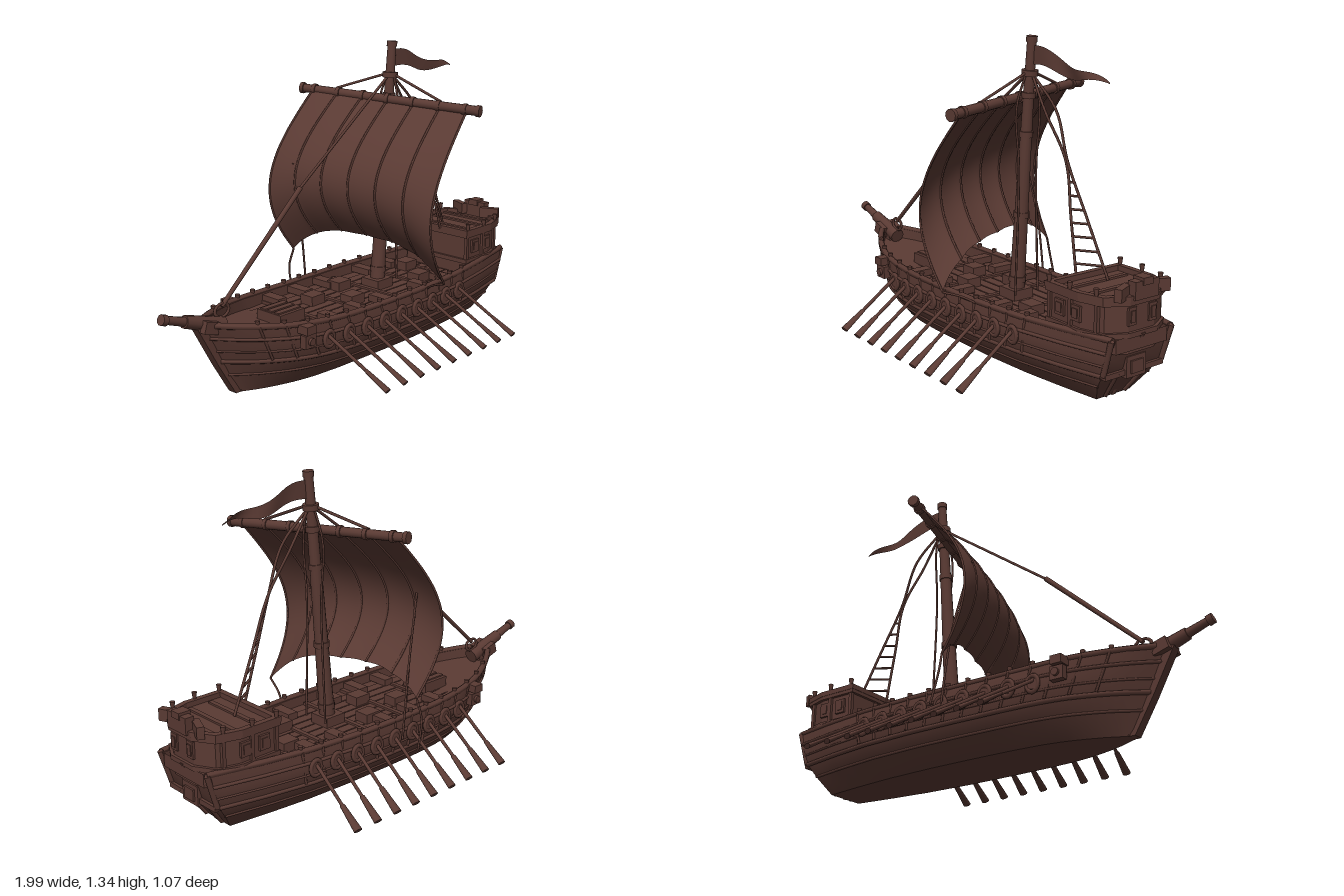
import * as THREE from 'three';
import { toCreasedNormals } from 'three/addons/utils/BufferGeometryUtils.js';

const V = (x, y, z) => new THREE.Vector3(x, y, z);
const lerp = THREE.MathUtils.lerp;

// piecewise linear lookup
function table(t, pts) {
  for (let i = 1; i < pts.length; i++) {
    const [a, va] = pts[i - 1], [b, vb] = pts[i];
    if (t <= b) return lerp(va, vb, (t - a) / (b - a));
  }
  return pts[pts.length - 1][1];
}

// hull rules: s runs bow to stern, level 0..4 runs keel to rail
const PLAN = [[0, 0.07], [0.03, 0.25], [0.07, 0.45], [0.12, 0.64], [0.17, 0.79], [0.23, 0.9],
  [0.32, 0.97], [0.45, 1], [0.6, 1], [0.75, 0.93], [0.88, 0.79], [1, 0.62]];
const LEVELS = [ // y, bow x, stern x, half width
  [0, -0.65, 0.82, 0.14], [0.07, -0.69, 0.87, 0.21], [0.14, -0.73, 0.92, 0.25],
  [0.21, -0.77, 0.94, 0.262], [0.28, -0.81, 0.965, 0.252]];
function hullPoint(s, level, side = 1, out = 0) {
  const i = Math.min(3, Math.floor(level)), f = level - i;
  const [y, x0, x1, w] = LEVELS[i].map((v, k) => lerp(v, LEVELS[i + 1][k], f));
  const sheer = 0.05 * Math.max(0, 1 - s / 0.4) ** 2 - 0.01 * Math.sin(Math.PI * s) + 0.01 * s;
  return V(lerp(x0, x1, s), y + sheer * level / 4, side * (w * table(s, PLAN) + out));
}
const sAt = (x, level) => (x - hullPoint(0, level).x) / (hullPoint(1, level).x - hullPoint(0, level).x);

// skin a list of equal-length cross-sections
function loft(rows) {
  const n = rows[0].length, idx = [];
  for (let i = 0; i < rows.length - 1; i++) for (let j = 0; j < n - 1; j++) {
    const a = i * n + j, b = a + n;
    idx.push(a, b, a + 1, b, b + 1, a + 1);
  }
  const g = new THREE.BufferGeometry().setFromPoints(rows.flat());
  g.setIndex(idx);
  return toCreasedNormals(g, 0.5);
}

// sail surface: u across (-1..1), v downwards (0..1)
function sailPoint(u, v, out = 0) {
  const low = 0.5 - 0.14 * Math.abs(u) ** 3 - 0.03 * u;
  const billow = 0.25 * Math.sin(Math.PI * v / 1.2) + 0.008 * v * Math.abs(Math.sin(u * Math.PI * 3));
  return V(0.25 + 0.1 * u - billow - out, lerp(1.08 - 0.02 * u, low, v),
    0.023 + u * (0.358 + 0.022 * Math.sin(Math.PI * v)));
}

export function createModel() {
  const ship = new THREE.Group();
  ship.name = 'sailingShip';
  const wood = new THREE.MeshStandardMaterial({ color: 0x5a3a33, side: THREE.DoubleSide });
  wood.name = 'darkBrown';

  function add(name, geo, x = 0, y = 0, z = 0) {
    const m = new THREE.Mesh(geo, wood);
    m.name = name;
    m.position.set(x, y, z);
    ship.add(m);
    return m;
  }
  const box = (name, w, h, d, x, y, z) => add(name, new THREE.BoxGeometry(w, h, d), x, y, z);
  function rod(name, a, b, r0, r1 = r0, sides = 10) {
    const d = b.clone().sub(a), mid = a.clone().add(b).multiplyScalar(0.5);
    const m = add(name, new THREE.CylinderGeometry(r1, r0, d.length(), sides), mid.x, mid.y, mid.z);
    m.quaternion.setFromUnitVectors(V(0, 1, 0), d.normalize());
    return m;
  }
  const rope = (name, pts, r = 0.004, sides = 5) =>
    add(name, new THREE.TubeGeometry(new THREE.CatmullRomCurve3(pts), pts.length * 6, r, sides));

  // hull with bulwark and deck; end rows collapse to close bow and stern
  const N = 44, deckY = s => 0.232 + 0.05 * Math.max(0, 1 - s / 0.25);
  for (const side of [1, -1]) {
    const section = (s, k) => {
      const row = [0, 0, 1, 2, 3, 4].map((l, i) => hullPoint(s, l, i ? side : 0));
      const top = hullPoint(s, 4, side), inner = Math.max(0, Math.abs(top.z) - 0.025) * side;
      row[0].z = 0;
      row.push(V(top.x, top.y, inner), V(top.x, deckY(s), inner), V(top.x, deckY(s), 0));
      if (k) row.forEach(p => { p.z = 0; });
      return side > 0 ? row : row.reverse();
    };
    const rows = [section(0, true)];
    for (let i = 0; i <= N; i++) rows.push(section(i / N));
    rows.push(section(1, true));
    add('hull', loft(rows));
    // plank wales and rail
    for (const [level, r] of [[1.1, 0.006], [1.9, 0.011], [2.5, 0.005], [3.25, 0.008], [4, 0.014]]) {
      const pts = [];
      for (let i = 0; i <= 24; i++) pts.push(hullPoint(i / 24, level, side, level === 4 ? -0.008 : 0));
      add(level === 4 ? 'rail' : 'wale', new THREE.TubeGeometry(new THREE.CatmullRomCurve3(pts), 60, r, 6));
    }
    // rail pegs and ribs
    for (let i = 0; i < 13; i++) {
      const s = 0.1 + i * 0.056, p = hullPoint(s, 4, side, -0.01);
      rod('railPeg', p, V(p.x, p.y + 0.024, p.z), 0.008, 0.011, 8);
      rod('hullRib', hullPoint(s, 2, side, 0.004), hullPoint(s, 4, side, 0.002), 0.007, 0.007, 4);
    }
    // nine oars with round ports
    for (let i = 0; i < 9; i++) {
      const x = -0.345 + i * 0.1065, z = Math.abs(hullPoint(sAt(x, 3), 3).z);
      add('oarPort', new THREE.TorusGeometry(0.027, 0.009, 6, 16), x, 0.205, side * (z + 0.005)).scale.y = 1.2;
      add('portPlate', new THREE.CylinderGeometry(0.024, 0.024, 0.02, 14).rotateX(Math.PI / 2), x, 0.205, side * z);
      const a = V(x - 0.005, 0.225, side * 0.235), b = V(x + 0.035, 0.05, side * 0.53);
      rod('oarShaft', a, b.clone().lerp(a, 0.1), 0.008, 0.007, 8);
      const blade = rod('oarBlade', b.clone().lerp(a, 0.36), b, 0.011, 0.018, 10);
      blade.scale.z = 0.6;
    }
    // catheads and anchor blocks near the bow
    box('cathead', 0.05, 0.035, 0.06, -0.46, 0.275, side * 0.23);
    box('anchorBlock', 0.06, 0.055, 0.03, -0.455, 0.225, side * 0.235);
    rod('bowBolt', V(-0.455, 0.225, side * 0.24), V(-0.455, 0.225, side * 0.262), 0.016);
  }

  // stem post, keel and bowsprit
  const stem = new THREE.Shape([[-0.61, 0], [-0.655, 0], [-0.74, 0.14], [-0.84, 0.32], [-0.76, 0.33]]
    .map(p => new THREE.Vector2(...p)));
  add('stemPost', new THREE.ExtrudeGeometry(stem, { depth: 0.044, bevelEnabled: false }), 0, 0, -0.022);
  box('keel', 1.44, 0.012, 0.05, 0.09, 0.006, 0);
  box('bowCollar', 0.07, 0.05, 0.1, -0.79, 0.32, 0).rotation.z = -0.3;
  rod('bowspritBase', V(-0.7, 0.3, 0), V(-0.89, 0.362, 0), 0.034, 0.026);
  rod('bowspritTip', V(-0.87, 0.356, 0), V(-0.995, 0.397, 0), 0.02, 0.016);
  rod('bowspritCap', V(-0.975, 0.39, 0), V(-0.998, 0.398, 0), 0.022);
  add('stayRing', new THREE.TorusGeometry(0.028, 0.006, 6, 14), -0.7, 0.36, 0).scale.x = 1.3;

  // deck planks, hatch, benches and cargo
  for (const z of [-0.15, -0.1, -0.05, 0, 0.05, 0.1, 0.15]) box('deckPlank', 1.1, 0.006, 0.044, 0.08, 0.234, z);
  for (const x of [-0.28, -0.06, 0.16, 0.38, 0.56]) box('deckBeam', 0.02, 0.016, 0.44, x, 0.238, 0);
  box('hatch', 0.14, 0.05, 0.14, -0.38, 0.26, 0);
  for (const z of [-0.04, 0, 0.04]) box('hatchSlat', 0.13, 0.008, 0.028, -0.38, 0.287, z);
  for (const x of [-0.26, -0.1, 0.06, 0.32, 0.48]) for (const side of [1, -1])
    box('bench', 0.05, 0.03, 0.11, x, 0.255, side * 0.17);
  for (const [x, z] of [[-0.14, -0.05], [-0.02, 0.07], [0.08, -0.1], [0.42, 0.08], [0.52, -0.08]])
    box('crate', 0.08, 0.045, 0.07, x, 0.256, z);

  // stern castle: faceted footprint grown by d, optionally hollow
  const footprint = d => {
    const half = [[0.64 - d, 0.185 + d], [0.82, 0.185 + d], [0.92 + d * 0.5, 0.155 + d], [0.968 + d, 0.07 + d * 0.5]];
    return [...half, ...half.map(([x, z]) => [x, -z]).reverse()].map(p => new THREE.Vector2(...p));
  };
  function slab(name, d, y0, y1, hollow) {
    const shape = new THREE.Shape(footprint(d));
    if (hollow) shape.holes.push(new THREE.Path(footprint(d - 0.025)));
    const g = new THREE.ExtrudeGeometry(shape, { depth: y1 - y0, bevelEnabled: false });
    return add(name, g.rotateX(Math.PI / 2), 0, y1, 0);
  }
  slab('castleWall', -0.008, 0.22, 0.425);
  slab('castleBaseBand', 0.004, 0.285, 0.305);
  slab('castleTopBand', 0.006, 0.41, 0.425);
  slab('castleRail', 0.008, 0.425, 0.447, true);
  for (const [x, z] of [[0.65, 0.185], [0.77, 0.187], [0.89, 0.165]]) for (const side of [1, -1]) {
    box('castlePost', 0.016, 0.16, 0.016, x, 0.36, side * (z - 0.006));
    rod('castleKnob', V(x, 0.445, side * z), V(x, 0.475, side * z), 0.007, 0.011, 8);
  }
  for (const side of [1, -1]) {
    for (const x of [0.71, 0.8]) {
      box('windowFrame', 0.05, 0.062, 0.014, x, 0.36, side * 0.18);
      box('windowPane', 0.028, 0.038, 0.009, x, 0.36, side * 0.186);
    }
    box('sternWindowFrame', 0.014, 0.07, 0.04, 0.96, 0.365, side * 0.052);
    box('sternWindowPane', 0.009, 0.045, 0.022, 0.967, 0.365, side * 0.052);
    rod('transomRib', V(0.83, 0.01, side * 0.05), V(0.925, 0.14, side * 0.08), 0.01, 0.01, 4);
    rod('transomCorner', V(0.92, 0.14, side * 0.15), V(0.965, 0.29, side * 0.155), 0.012, 0.012, 6);
    box('sternRailWing', 0.03, 0.05, 0.09, 0.95, 0.458, side * 0.09).rotation.y = side * 0.4;
  }
  for (const x of [0.72, 0.82, 0.9]) box('castleDeckBeam', 0.02, 0.01, 0.3, x, 0.428, 0);
  box('sternBoard', 0.04, 0.07, 0.12, 0.965, 0.465, 0);
  box('sternCrest', 0.055, 0.028, 0.05, 0.962, 0.497, 0);
  box('transomBand', 0.025, 0.022, 0.3, 0.92, 0.135, 0);
  box('rudderBox', 0.05, 0.085, 0.1, 0.915, 0.155, 0);
  box('rudderPlate', 0.012, 0.05, 0.06, 0.942, 0.155, 0);
  rod('sternPost', V(0.81, 0.006, 0), V(0.96, 0.3, 0), 0.018, 0.018, 6);

  // mast with bands and top
  const mastAt = y => V(lerp(0.222, 0.31, (y - 0.23) / 1.1), y, 0);
  box('mastStep', 0.1, 0.05, 0.1, 0.222, 0.255, 0);
  rod('mast', mastAt(0.23), mastAt(1.33), 0.034, 0.019, 14);
  for (const [y, r] of [[0.32, 0.037], [0.6, 0.034], [0.94, 0.029], [1.1, 0.029], [1.19, 0.034], [1.325, 0.023]])
    rod('mastBand', mastAt(y - 0.012), mastAt(y + 0.012), r, r, 12);

  // yard, lashings, sail and seams
  const yardA = V(0.15, 1.11, -0.4), yardB = V(0.37, 1.068, 0.44);
  rod('yard', yardA, yardB, 0.019, 0.021, 12);
  for (const f of [0.01, 0.08, 0.22, 0.36, 0.5, 0.64, 0.78, 0.92, 0.99])
    rod('yardLashing', yardA.clone().lerp(yardB, f - 0.01), yardA.clone().lerp(yardB, f + 0.01), 0.025);
  const sailRows = [];
  for (let i = 0; i <= 36; i++) {
    sailRows.push([]);
    for (let j = 0; j <= 20; j++) sailRows[i].push(sailPoint(i / 18 - 1, j / 20));
  }
  add('sail', loft(sailRows));
  for (const u of [-1, -0.667, -0.333, 0, 0.333, 0.667, 1]) {
    const pts = [];
    for (let j = 0; j <= 8; j++) pts.push(sailPoint(u, j / 8));
    rope('sailSeam', pts, 0.005);
  }

  // tapering, rippling pennant
  const flag = new THREE.PlaneGeometry(1, 1, 24, 3), fp = flag.attributes.position;
  for (let i = 0; i < fp.count; i++) {
    const t = fp.getX(i) + 0.5, h = fp.getY(i);
    fp.setXYZ(i, 0.315 + 0.43 * t, 1.262 - 0.075 * t + 0.012 * Math.sin(t * 9) + h * 0.075 * (1 - 0.93 * t ** 1.6),
      0.016 * t * Math.sin(t * 11 + h));
  }
  flag.computeVertexNormals();
  add('pennant', flag);

  // forestay with thick lower half
  rod('forestay', V(0.29, 1.19, 0), V(-0.27, 0.77, 0), 0.006, 0.006, 6);
  rod('forestayTackle', V(-0.26, 0.778, 0), V(-0.7, 0.375, 0), 0.011, 0.009, 8);

  // rope ladder down to the stern castle
  const top = V(0.52, 0.89, 0), feet = [V(0.635, 0.43, 0.035), V(0.74, 0.43, -0.035)];
  for (const foot of feet) {
    const split = top.clone().lerp(foot, 0.05);
    rope('ladderRope', [V(0.31, 1.19, 0), V(0.43, 1.05, foot.z * 0.8), split, top.clone().lerp(foot, 0.5), foot], 0.006);
  }
  for (let i = 1; i < 9; i++)
    rod('ladderRung', top.clone().lerp(feet[0], i / 9), top.clone().lerp(feet[1], i / 9), 0.005, 0.005, 6);

  // yard lifts, backstays and sheets
  for (const side of [1, -1]) {
    const f = 0.5 + side * 0.29, y = yardA.clone().lerp(yardB, f);
    rod('yardLift', V(0.3, 1.2, 0), V(y.x, y.y + 0.02, y.z), 0.006, 0.006, 6);
    rope('backstay', [V(0.3, 1.19, side * 0.02), V(0.29, 1.05, side * 0.06), V(0.29, 0.8, side * 0.045), V(0.29, 0.27, side * 0.06)], 0.005);
  }
  rope('sheet', [sailPoint(-1, 1), V(0.02, 0.3, -0.36), V(0.05, 0.17, -0.37)], 0.005);
  rope('sheet', [sailPoint(-0.72, 0.45), V(0.02, 0.5, -0.28), V(0.06, 0.2, -0.29)], 0.005);
  rope('sheet', [sailPoint(1, 1), V(0.25, 0.3, 0.3), V(0.27, 0.27, 0.25)], 0.005);
  return ship;
}
